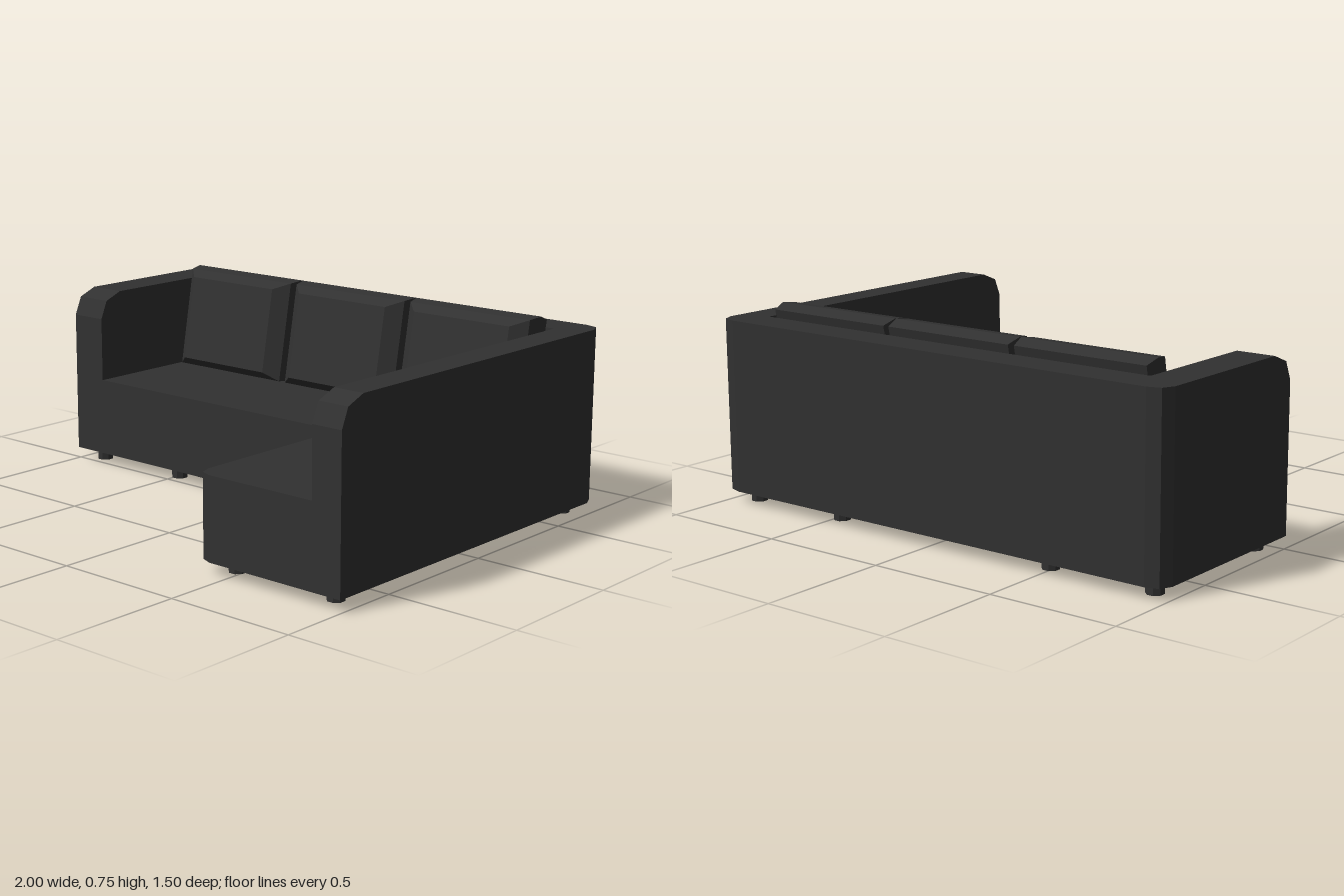
import * as THREE from 'three';

const fabric = new THREE.MeshStandardMaterial({ color: 0x313131, side: THREE.DoubleSide });
fabric.name = 'charcoal fabric';

const BASE = 0.045, SEAT = 0.35, TOP = 0.7, BACK = -0.61;

// Flat-faced sheet between two lines with the same number of points.
function strip(name, a, b) {
  const pos = [];
  for (let i = 0; i < a.length - 1; i++) {
    pos.push(...a[i], ...a[i + 1], ...b[i + 1], ...a[i], ...b[i + 1], ...b[i]);
  }
  const g = new THREE.BufferGeometry();
  g.setAttribute('position', new THREE.Float32BufferAttribute(pos, 3));
  g.computeVertexNormals();
  const mesh = new THREE.Mesh(g, fabric);
  mesh.name = name;
  return mesh;
}

const atHeight = (line, y) => line.map(([x, , z]) => [x, y, z]);

// Sloping top edge of an arm, from its front end backwards.
const armEdge = (x, front) => [[x, 0.6, front], [x, 0.67, front - 0.03], [x, TOP, front - 0.105]];

// Padded cushion leaning on the back, lofted through bevelled rings.
function cushion(x) {
  const rings = [ // half width, bottom y, bottom z, top y, top z
    [0.215, 0.39, -0.39, 0.72, -0.45],
    [0.27, 0.355, -0.43, 0.743, -0.5],
    [0.282, 0.352, -0.485, 0.75, -0.555],
    [0.272, 0.36, -0.53, 0.73, -0.607],
  ].map(([w, y0, z0, y1, z1]) => [
    [x - w, y0, z0], [x + w, y0, z0], [x + w, y1, z1], [x - w, y1, z1], [x - w, y0, z0],
  ]);
  const group = new THREE.Group();
  group.name = 'backCushion';
  for (let i = 0; i < rings.length - 1; i++) {
    group.add(strip('cushionSide', rings[i + 1], rings[i]));
  }
  const cap = (name, r) => strip(name, [r[0], r[1]], [r[3], r[2]]);
  group.add(cap('cushionFront', rings[0]));
  const b = rings[3];
  group.add(strip('cushionBack', [b[1], b[0]], [b[2], b[3]]));
  return group;
}

export function createModel() {
  const sofa = new THREE.Group();
  sofa.name = 'cornerSofa';

  // Outer and inner top edges, running from the long arm round the back to the short arm
  const outer = [
    ...armEdge(1, 0.75),
    [1, TOP, -0.69], [0.98, TOP, -0.735], [0.93, TOP, -0.75],
    [-0.93, TOP, -0.75], [-0.98, TOP, -0.735], [-1, TOP, -0.69],
    ...armEdge(-1, 0.01).reverse(),
  ];
  const corner = (x) => Array(3).fill([x, TOP, BACK]);
  const inner = [
    ...armEdge(0.88, 0.75), ...corner(0.88), ...corner(-0.85), ...armEdge(-0.85, 0.01).reverse(),
  ];
  sofa.add(
    strip('outerWall', atHeight(outer, BASE), outer),
    strip('armAndBackTop', outer, inner),
    strip('innerWall', inner, atHeight(inner, SEAT)),
  );

  // Arm fronts
  for (const [x0, x1, z] of [[-1, -0.85, 0.01], [0.88, 1, 0.75]]) {
    sofa.add(strip('armFront', [[x0, BASE, z], [x1, BASE, z]], [[x0, 0.6, z], [x1, 0.6, z]]));
  }

  // L-shaped seat with a rounded chaise corner, open underneath
  const seatEdge = [
    [-0.85, 0.01], [0.375, 0.01], [0.375, 0.69], [0.39, 0.733], [0.433, 0.75], [0.88, 0.75],
  ].map(([x, z]) => [x, SEAT, z]);
  sofa.add(
    strip('seat', seatEdge, seatEdge.map(([x, y]) => [x, y, BACK])),
    strip('seatFront', atHeight(seatEdge, BASE), seatEdge),
  );

  for (const x of [-0.56, 0.01, 0.578]) sofa.add(cushion(x));

  // Eight-sided legs
  const legShape = new THREE.CylinderGeometry(0.0325, 0.0325, 0.19, 8).rotateY(Math.PI / 8).toNonIndexed();
  legShape.computeVertexNormals();
  const legRows = [[-0.665, [-0.915, -0.49, 0.475, 0.905]], [-0.06, [-0.915, -0.49, 0.475]], [0.655, [0.475, 0.905]]];
  for (const [z, xs] of legRows) {
    for (const x of xs) {
      const leg = new THREE.Mesh(legShape, fabric);
      leg.name = 'leg';
      leg.position.set(x, 0.095, z);
      sofa.add(leg);
    }
  }
  return sofa;
}
